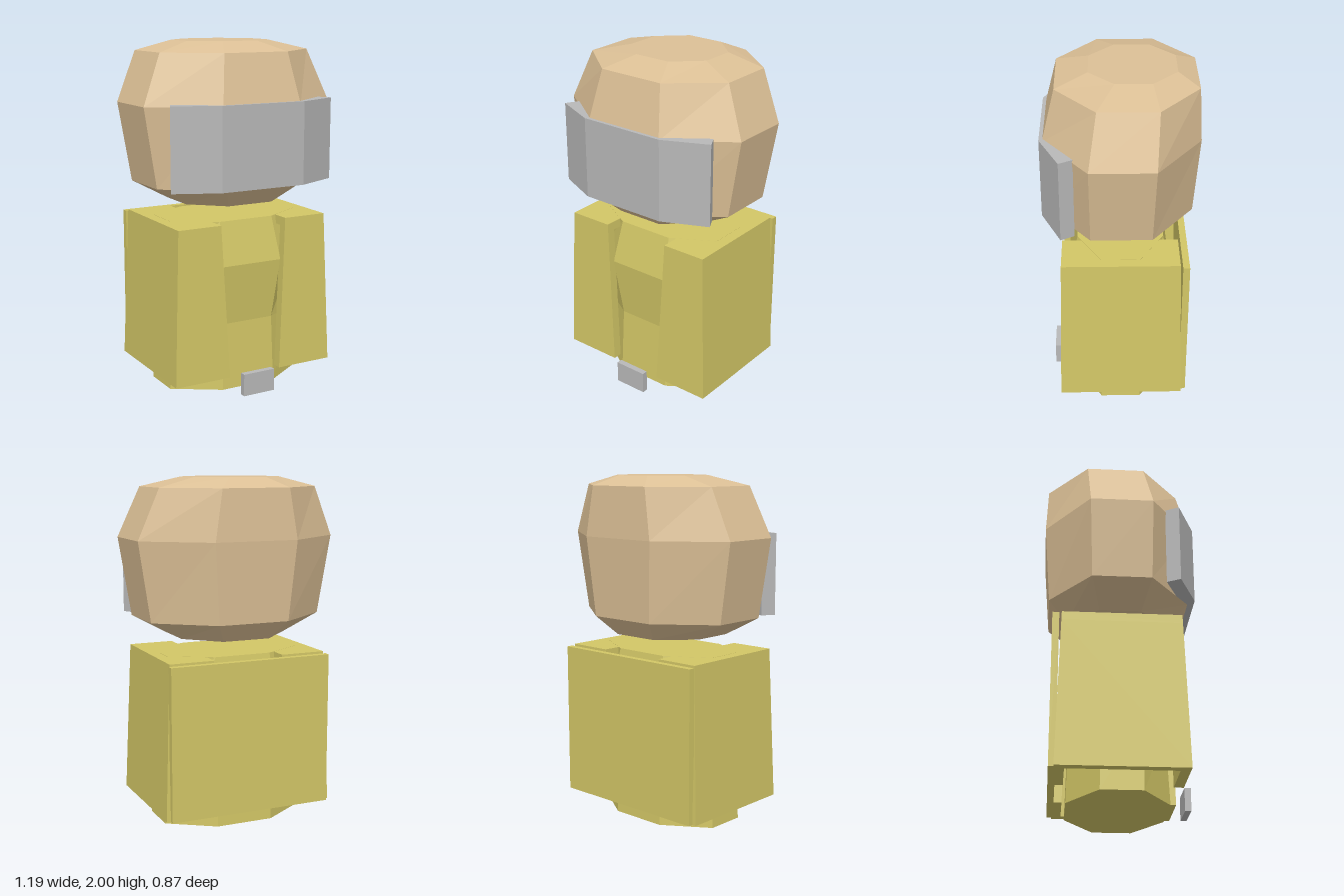
import * as THREE from 'three';

const mat = (name, color) => {
  const m = new THREE.MeshStandardMaterial({ color });
  m.name = name;
  return m;
};

// Eight corners of a ring: front/back half width, side half width and z limits
function ring([y, cx, sx, zFront, zsFront, zsBack, zBack]) {
  return [[-cx, zFront], [cx, zFront], [sx, zsFront], [sx, zsBack],
    [cx, zBack], [-cx, zBack], [-sx, zsBack], [-sx, zsFront]]
    .map(([x, z]) => new THREE.Vector3(x, y, z));
}

// Faceted solid through a stack of rings, closed at both ends
function loft(rows) {
  const rings = rows.map(ring), pts = [], n = 8;
  for (let r = 0; r < rings.length - 1; r++) {
    for (let i = 0; i < n; i++) {
      const j = (i + 1) % n, lo = rings[r], hi = rings[r + 1];
      pts.push(lo[i], lo[j], hi[j], lo[i], hi[j], hi[i]);
    }
  }
  const bottom = rings[0], top = rings[rings.length - 1];
  for (let i = 1; i < n - 1; i++) {
    pts.push(top[0], top[i], top[i + 1], bottom[0], bottom[i + 1], bottom[i]);
  }
  const g = new THREE.BufferGeometry().setFromPoints(pts);
  g.computeVertexNormals();
  return g;
}

// Plan outline (x, z) raised from y0 to y1
function prism(points, y0, y1) {
  const shape = new THREE.Shape(points.map(([x, z]) => new THREE.Vector2(x, -z)));
  const g = new THREE.ExtrudeGeometry(shape, { depth: y1 - y0, bevelEnabled: false });
  return g.rotateX(-Math.PI / 2).translate(0, y0, 0);
}

// Narrow a jacket piece towards its top
function taper(g) {
  const p = g.attributes.position;
  for (let i = 0; i < p.count; i++) {
    const t = (p.getY(i) - 0.11) / 0.89;
    const x = p.getX(i), topX = 0.21 + (x - 0.165) * 0.77;
    p.setX(i, THREE.MathUtils.lerp(x, topX, t));
    p.setZ(i, p.getZ(i) * (1 - 0.065 * t));
  }
  g.computeVertexNormals();
  return g;
}

export function createModel() {
  const root = new THREE.Group();
  const tan = mat('tan', 0xdcc096);
  const yellow = mat('mustard yellow', 0xd2c666);
  const grey = mat('grey', 0xb8b8b8);
  const add = (name, geometry, material, parent = root) => {
    const m = new THREE.Mesh(geometry, material);
    m.name = name;
    parent.add(m);
    return m;
  };

  // Head: y, corner x, side x, front z, side front z, side back z, back z
  add('head', loft([
    [1.095, 0.14, 0.32, 0.29, 0.12, -0.12, -0.3],
    [1.205, 0.21, 0.52, 0.4, 0.165, -0.17, -0.405],
    [1.66, 0.245, 0.595, 0.42, 0.17, -0.185, -0.437],
    [1.945, 0.2, 0.475, 0.35, 0.125, -0.2, -0.425],
    [2.0, 0.11, 0.26, 0.17, 0.03, -0.17, -0.31],
  ]), tan);

  // Visor wrapped around the front of the head
  add('visor', prism([
    [-0.515, 0.325], [-0.26, 0.437], [0.26, 0.437], [0.515, 0.325],
    [0.475, 0.25], [0.24, 0.355], [-0.24, 0.355], [-0.475, 0.25],
  ], 1.205, 1.675), grey);

  // Inner body
  add('torso', loft([
    [0.01, 0.17, 0.43, 0.28, 0.115, -0.115, -0.285],
    [0.4, 0.165, 0.41, 0.26, 0.115, -0.115, -0.275],
    [0.75, 0.2, 0.42, 0.3, 0.115, -0.115, -0.29],
    [1.001, 0.17, 0.41, 0.245, 0.11, -0.11, -0.25],
  ]), yellow);

  // Jacket sides: wrapped shells with closed tops, open below
  const wrap = [[0.165, 0.355], [0.51, 0.355], [0.51, -0.355], [0.165, -0.355],
    [0.165, -0.3], [0.455, -0.3], [0.455, 0.3], [0.165, 0.3]];
  const cap = wrap.slice(0, 4);
  for (const [name, angle] of [['leftJacket', 0], ['rightJacket', Math.PI]]) {
    const side = new THREE.Group();
    side.name = name;
    side.rotation.y = angle;
    add('jacketWall', taper(prism(wrap, 0.11, 0.95)), yellow, side);
    add('jacketTop', taper(prism(cap, 0.95, 1)), yellow, side);
    root.add(side);
  }

  // Back plate
  add('backPlate', new THREE.BoxGeometry(0.97, 0.88, 0.038).translate(0, 0.55, -0.364), yellow);

  // Buckle at the lower front
  add('buckle', new THREE.BoxGeometry(0.2, 0.13, 0.035).translate(0, 0.065, 0.385), grey);

  return root;
}
